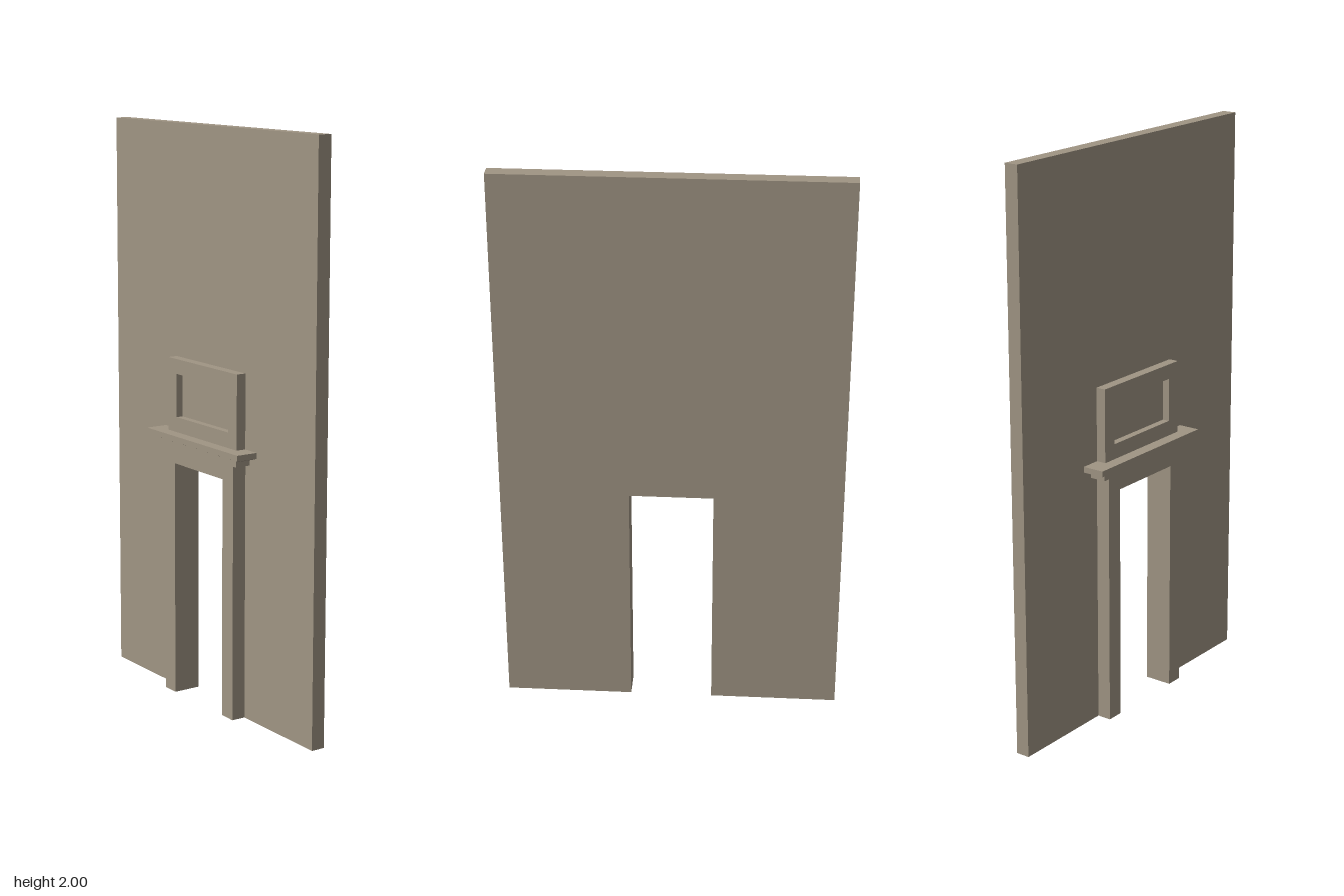
import * as THREE from 'three';

const WALL_FACE = 0.013;

export function createModel() {
  const group = new THREE.Group();
  const material = new THREE.MeshStandardMaterial({ color: 0xa09584, flatShading: true });

  const add = (name, geometry) => {
    const mesh = new THREE.Mesh(geometry, material);
    mesh.name = name;
    group.add(mesh);
    return mesh;
  };

  // Extrudes a (z, y) outline between two x positions
  const slab = (name, shape, x0, x1) => {
    const geometry = new THREE.ExtrudeGeometry(shape, { depth: x1 - x0, bevelEnabled: false });
    geometry.rotateY(-Math.PI / 2).translate(x1, 0, 0);
    return add(name, geometry);
  };

  // Rectangle outline given by its z and y limits
  const rect = (z0, z1, y0, y1) => [[z0, y0], [z1, y0], [z1, y1], [z0, y1]].map(p => new THREE.Vector2(...p));

  // Arch outline: a rectangle with a doorway open at the floor
  const doorway = (half, height) => new THREE.Shape([
    [-half, 0], [-0.145, 0], [-0.145, 0.833], [0.145, 0.833],
    [0.145, 0], [half, 0], [half, height], [-half, height],
  ].map(p => new THREE.Vector2(...p)));

  // Wall and the surround standing against it
  slab('wall', doorway(0.59, 2), WALL_FACE, 0.062);
  slab('surround', doorway(0.207, 0.89), -0.037, WALL_FACE);

  // Mantel layers, each with its own reach at the bottom and top
  const layer = (name, y0, y1, bottom, top) => {
    const geometry = new THREE.BoxGeometry(1, 1, 1);
    const p = geometry.attributes.position;
    for (let i = 0; i < p.count; i++) {
      const upper = p.getY(i) > 0;
      const { x, z } = upper ? top : bottom;
      p.setXYZ(i, p.getX(i) > 0 ? WALL_FACE : x, upper ? y1 : y0, Math.sign(p.getZ(i)) * z);
    }
    geometry.computeVertexNormals();
    add(name, geometry).position.z = -0.003;
  };
  const low = { x: -0.043, z: 0.235 };
  const mid = { x: -0.045, z: 0.25 };
  const full = { x: -0.065, z: 0.274 };
  layer('mantelMoulding', 0.89, 0.912, low, low);
  layer('mantelCove', 0.912, 0.92, mid, full);
  layer('mantelShelf', 0.92, 0.94, full, full);

  // Picture frame above the mantel, with a recessed panel
  const frame = new THREE.Shape(rect(-0.206, 0.206, 0.94, 1.197));
  frame.holes.push(new THREE.Path(rect(-0.155, 0.155, 0.993, 1.145)));
  slab('pictureFrame', frame, -0.022, WALL_FACE);
  slab('picturePanel', new THREE.Shape(rect(-0.155, 0.155, 0.993, 1.145)), 0.003, WALL_FACE);

  return group;
}
